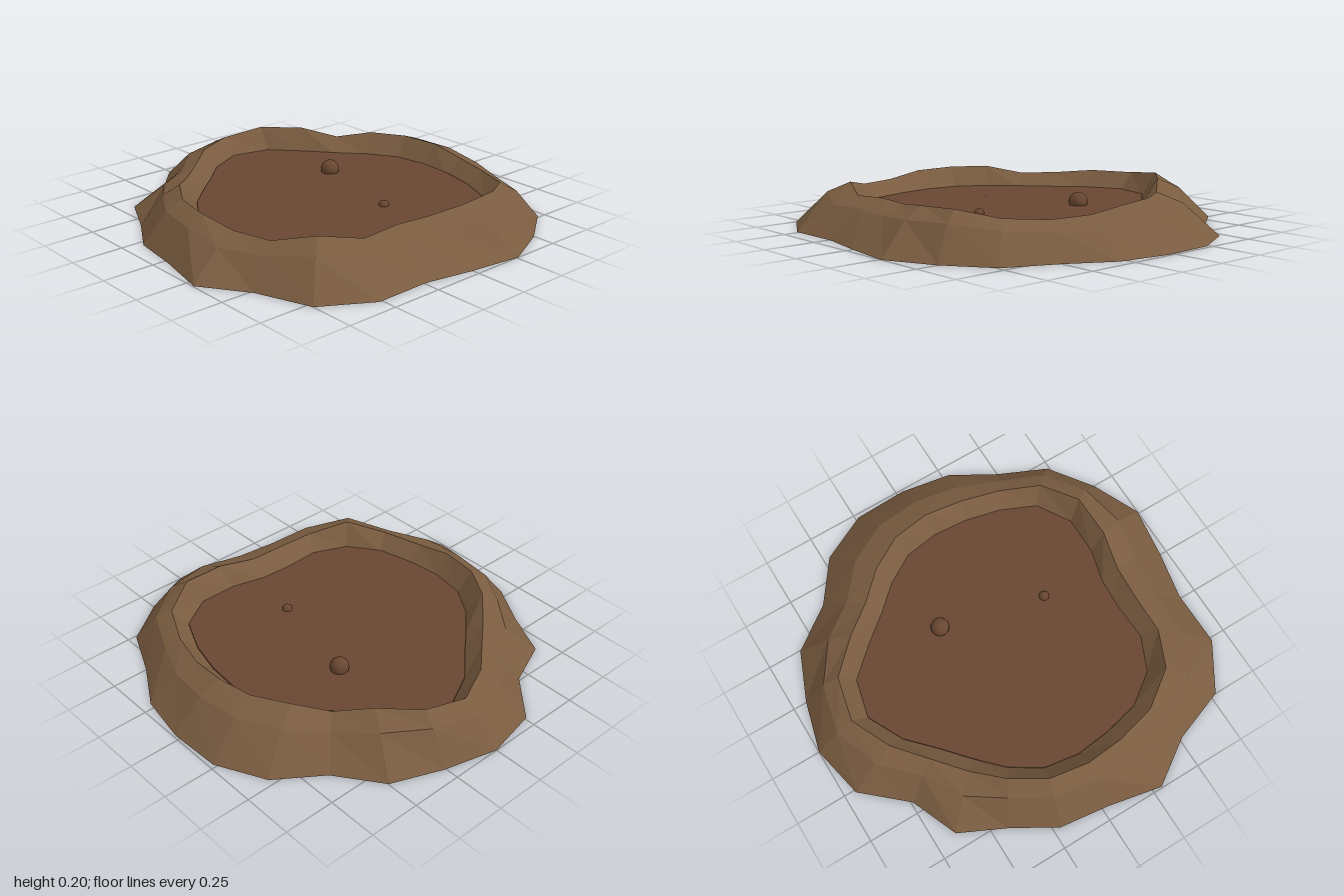
import * as THREE from 'three';

const CENTRE_Z = 0.03;
const FLOOR_Y = 0.095;
// Radii and heights every 15 degrees, clockwise from the back
const OUTER = [1.03, 0.995, 0.995, 0.92, 0.995, 1.014, 0.99, 0.98, 0.945, 1.004, 0.995, 1.004,
  0.935, 0.92, 1.03, 1.06, 0.976, 1.03, 0.94, 0.94, 0.905, 0.955, 0.89, 1.01];
const CREST = [0.83, 0.81, 0.725, 0.685, 0.70, 0.725, 0.73, 0.74, 0.77, 0.815, 0.795, 0.72,
  0.655, 0.667, 0.745, 0.79, 0.785, 0.755, 0.75, 0.745, 0.715, 0.69, 0.70, 0.765];
const HEIGHT = [0.175, 0.2, 0.2, 0.16, 0.19, 0.19, 0.185, 0.16, 0.155, 0.17, 0.2, 0.19,
  0.17, 0.175, 0.165, 0.2, 0.16, 0.16, 0.185, 0.19, 0.19, 0.155, 0.16, 0.175];
const N = OUTER.length;

// Joins closed rings; each ring is a rule k -> [radius, height]
function ringSurface(rings) {
  const points = [], index = [];
  rings.forEach((ring, i) => {
    for (let k = 0; k < N; k++) {
      const a = (k / N) * Math.PI * 2;
      const [r, y] = ring(k);
      points.push(r * Math.sin(a), y, CENTRE_Z - r * Math.cos(a));
      if (i === rings.length - 1) continue;
      const n = (k + 1) % N, p = i * N, q = p + N;
      index.push(p + k, q + k, q + n, p + k, q + n, p + n);
    }
  });
  const g = new THREE.BufferGeometry();
  g.setAttribute('position', new THREE.Float32BufferAttribute(points, 3));
  g.setIndex(index);
  g.computeVertexNormals();
  return g;
}

export function createModel() {
  const group = new THREE.Group();
  const bankMat = new THREE.MeshStandardMaterial({ color: 0x7a5c40, flatShading: true });
  const mudMat = new THREE.MeshStandardMaterial({ color: 0x694731, flatShading: true });
  const bubbleMat = new THREE.MeshStandardMaterial({ color: 0x694731 });

  const add = (name, geometry, material) => {
    const mesh = new THREE.Mesh(geometry, material);
    mesh.name = name;
    group.add(mesh);
    return mesh;
  };

  // Raised earth bank: underside, outer slope, shoulder, crest, inner wall
  add('bank', ringSurface([
    k => [CREST[k] - 0.08, 0],
    k => [OUTER[k], 0],
    k => [THREE.MathUtils.lerp(CREST[k], OUTER[k], 0.42), HEIGHT[k] * 0.76],
    k => [CREST[k], HEIGHT[k]],
    k => [CREST[k] - 0.08, FLOOR_Y - 0.01],
  ]), bankMat);

  // Flat slab of mud filling the bank
  add('mud', ringSurface([
    () => [0, 0],
    k => [CREST[k] - 0.078, 0],
    k => [CREST[k] - 0.078, FLOOR_Y],
    () => [0, FLOOR_Y],
  ]), mudMat);

  // Bubbles half sunk in the mud: x, z, radius, centre height
  [[0.21, -0.2, 0.046, 0.11], [0.087, 0.32, 0.025, 0.095], [-0.3, -0.05, 0.022, 0.075]]
    .forEach(([x, z, r, y], i) => {
      add('bubble' + (i + 1), new THREE.SphereGeometry(r, 16, 10), bubbleMat).position.set(x, y, z);
    });

  return group;
}
